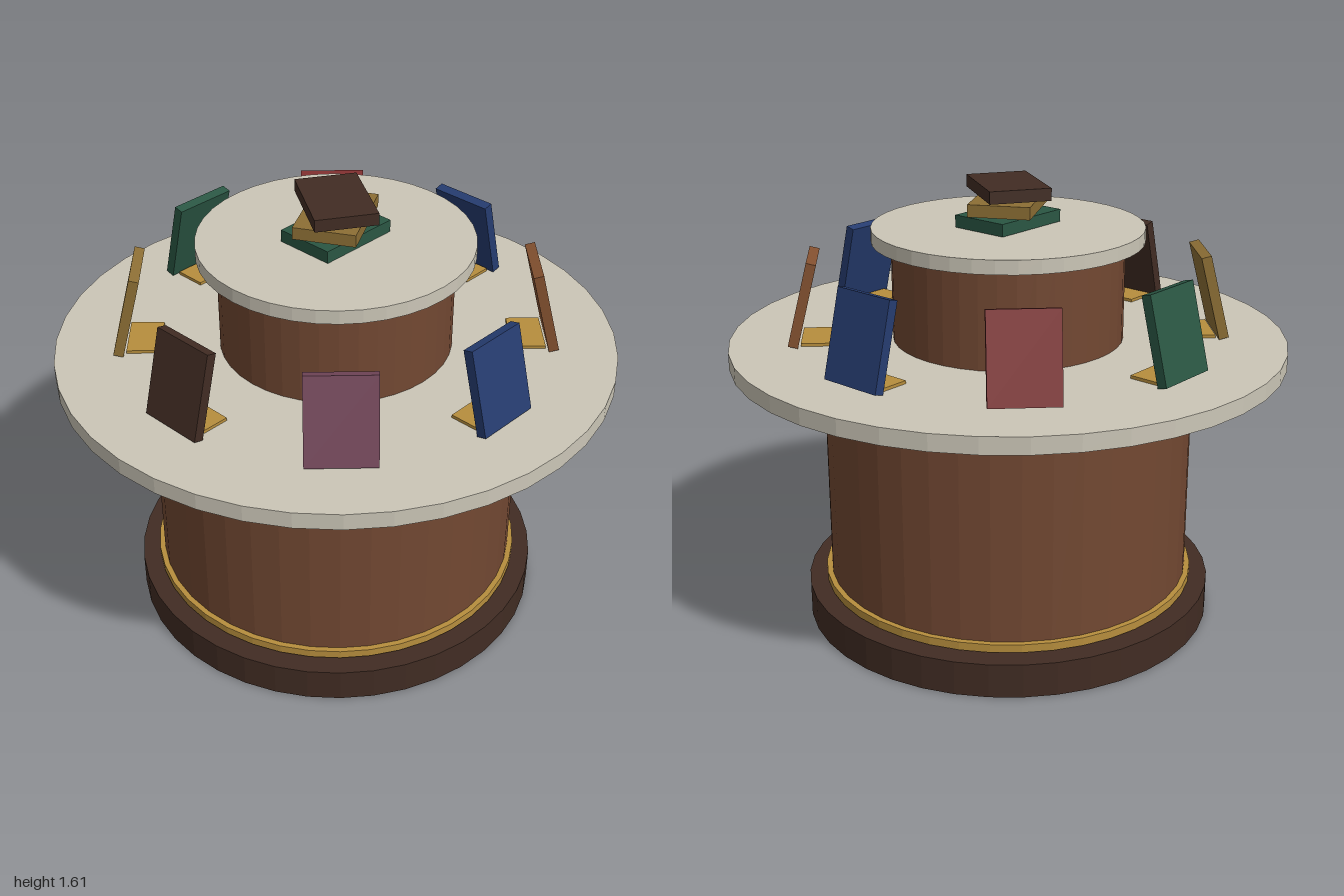
import * as THREE from 'three';

const mat = (name, color) => {
  const m = new THREE.MeshStandardMaterial({ color, flatShading: true });
  m.name = name;
  return m;
};

export function createModel() {
  const model = new THREE.Group();
  model.name = 'bookDisplayTable';

  const wood = mat('wood', 0x724832);
  const darkBrown = mat('dark brown', 0x412c23);
  const gold = mat('gold', 0xb78e3d);
  const stone = mat('pale stone', 0xcbc6b7);
  const blue = mat('blue', 0x263c70);
  const green = mat('green', 0x2a5643);
  const red = mat('red', 0x7e2d2d);
  const purple = mat('purple', 0x73475a);
  const orange = mat('orange brown', 0x845130);
  const ochre = mat('ochre', 0x8d6f35);

  // Round tiers, given by radius, bottom and top
  const tier = (name, radius, y0, y1, material) => {
    const mesh = new THREE.Mesh(new THREE.CylinderGeometry(radius, radius, y1 - y0, 40), material);
    mesh.name = name;
    mesh.position.y = (y0 + y1) / 2;
    model.add(mesh);
  };
  tier('base', 0.755, 0, 0.125, darkBrown);
  tier('goldBand', 0.69, 0.135, 0.165, gold);
  tier('drum', 0.67, 0.12, 0.995, wood);
  tier('tableTop', 1, 0.99, 1.05, stone);
  tier('upperDrum', 0.415, 1.045, 1.41, wood);
  tier('upperTop', 0.485, 1.405, 1.455, stone);

  const box = (name, w, h, d, material) => {
    const mesh = new THREE.Mesh(new THREE.BoxGeometry(w, h, d), material);
    mesh.name = name;
    return mesh;
  };

  // Ring of books leaning inward on gold stands, counted from the front towards +x
  [blue, orange, blue, red, green, ochre, darkBrown, purple].forEach((material, i) => {
    const display = new THREE.Group();
    display.name = 'bookDisplay' + (i + 1);
    const book = box('standingBook', 0.24, 0.31, 0.036, material);
    book.position.set(0, 1.205, 0.728);
    book.rotation.x = -0.25;
    const stand = box('bookStand', 0.19, 0.014, 0.12, gold);
    stand.position.set(0, 1.054, 0.68);
    display.add(book, stand);
    display.rotation.y = (i * Math.PI) / 4;
    model.add(display);
  });

  // Twisted stack of books on the upper top
  [green, ochre, darkBrown].forEach((material, i) => {
    const book = box('stackedBook' + (i + 1), 0.31, 0.044, 0.22, material);
    book.position.y = 1.479 + i * 0.055;
    book.rotation.y = i * 0.5;
    model.add(book);
  });

  return model;
}
